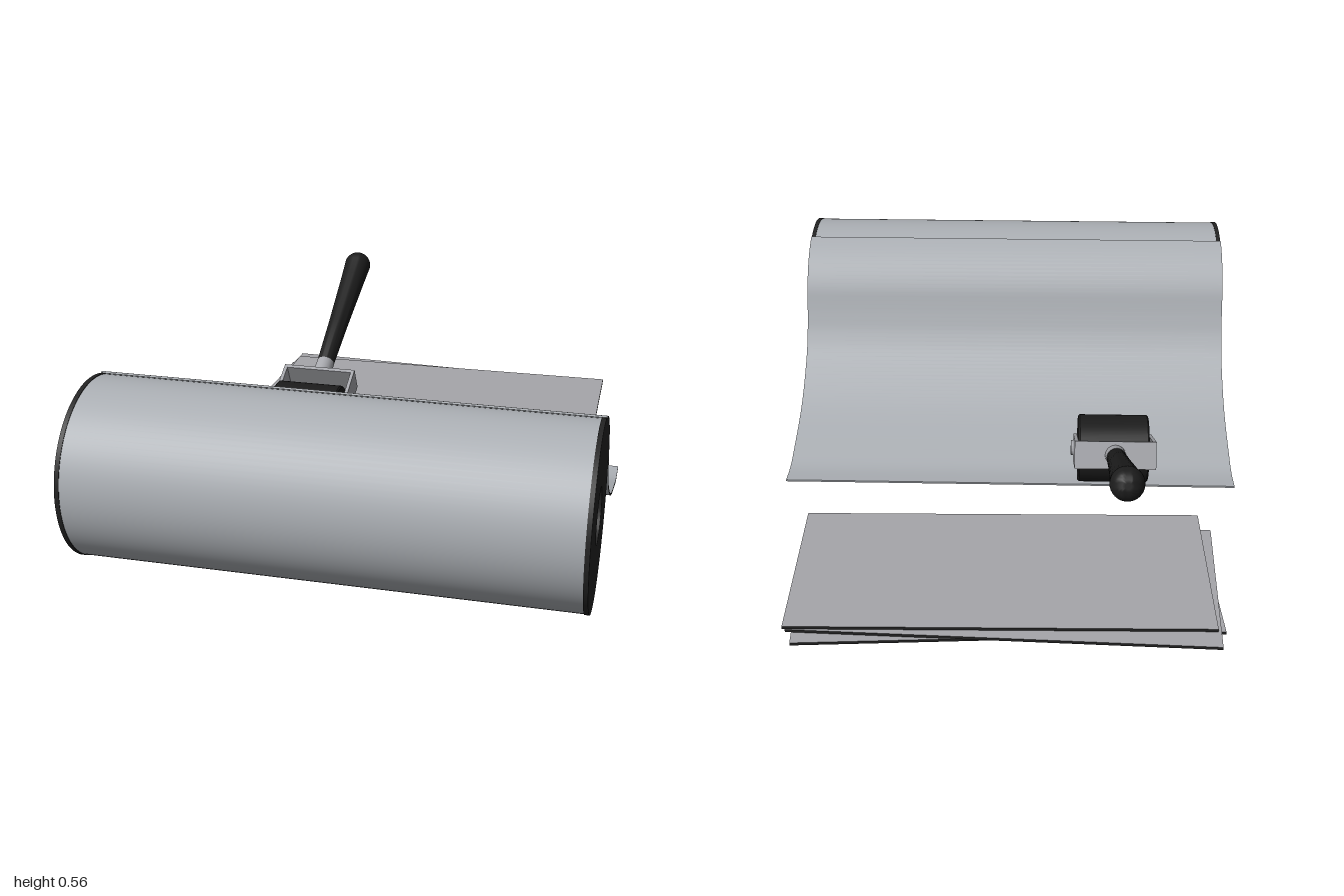
import * as THREE from 'three';
import { toCreasedNormals } from 'three/addons/utils/BufferGeometryUtils.js';

const mat = (name, color, side = THREE.FrontSide) => {
  const m = new THREE.MeshStandardMaterial({ color, side });
  m.name = name;
  return m;
};

const V2 = (x, y) => new THREE.Vector2(x, y);

// Lathe with crisp edges whose axis lies along x
function latheX(points, segments = 64) {
  const g = new THREE.LatheGeometry(points.map(([r, h]) => V2(r, h)), segments);
  return toCreasedNormals(g.rotateZ(-Math.PI / 2), 0.6);
}

export function createModel() {
  const root = new THREE.Group();
  root.name = 'rollAndApplicator';

  const silver = mat('silverFoil', 0xacb0b5);
  const tileTop = mat('tileGrey', 0xa6a6aa);
  const dark = mat('darkBacking', 0x232323);
  const rubber = mat('blackRubber', 0x1c1c1c);
  const steel = mat('brushedSteel', 0xa6a7ac);

  const add = (parent, name, geometry, material, x = 0, y = 0, z = 0) => {
    const mesh = new THREE.Mesh(geometry, material);
    mesh.name = name;
    mesh.position.set(x, y, z);
    parent.add(mesh);
    return mesh;
  };

  // Roll: foil skin, dark end rings and an open core
  const rollY = 0.28, rollZ = 0.725, R = 0.277;
  const roll = new THREE.Group();
  roll.name = 'roll';
  roll.position.set(0, rollY, rollZ);
  root.add(roll);
  add(roll, 'rollSkin', latheX([[R - 0.002, -0.746], [R - 0.002, 0.746]], 96), silver);
  add(roll, 'rollCore', latheX([[0.083, 0.746], [0.083, -0.746]]), dark);
  for (const s of [-1, 1]) {
    const w = 0.007;
    add(roll, s > 0 ? 'leftEndRing' : 'rightEndRing',
      latheX([[0.083, -w], [R, -w], [R, w], [0.083, w], [0.083, -w]], 96), dark, s * 0.752);
  }

  // Unrolled sheet: hugs the roll, then sweeps down to the ground
  const path = [];
  for (let i = 0; i <= 6; i++) {
    const a = 0.33 + i * 0.153;
    path.push([rollZ - 0.279 * Math.sin(a), rollY + 0.279 * Math.cos(a)]);
  }
  path.push([0.44, 0.322], [0.407, 0.26], [0.353, 0.195], [0.246, 0.118], [0.14, 0.068],
    [-0.02, 0.023], [-0.1, 0.007], [-0.186, 0.012]);
  const curve = new THREE.SplineCurve(path.map(([z, y]) => V2(-z, y)));
  const over = [], under = [];
  for (let i = 0; i <= 70; i++) {
    const p = curve.getPointAt(i / 70), t = curve.getTangentAt(i / 70);
    const n = V2(-t.y, t.x).multiplyScalar(0.003);
    over.push(p.clone().add(n));
    under.unshift(p.clone().sub(n));
  }
  const sheet = new THREE.ExtrudeGeometry(new THREE.Shape([...over, ...under]),
    { depth: 1.52, bevelEnabled: false });
  sheet.translate(0, 0, -0.76).rotateY(Math.PI / 2);
  add(root, 'unrolledSheet', toCreasedNormals(sheet, 0.6), [dark, silver]);

  // Loose stack of three cut tiles, each turned a little
  const tileFaces = [dark, dark, tileTop, dark, dark, dark];
  [[-0.002, -0.683, 0.063], [-0.01, -0.7, -0.035], [0.012, -0.668, 0.016]].forEach(([x, z, turn], i) => {
    const tile = add(root, 'tile' + (i + 1), new THREE.BoxGeometry(1.265, 0.0095, 0.555),
      tileFaces, x, 0.0065 + i * 0.0115, z);
    tile.rotation.y = turn;
  });

  // Hand roller, its handle running along local -z
  const tool = new THREE.Group();
  tool.name = 'handRoller';
  tool.position.set(-0.346, 0.127, -0.132);
  tool.rotation.x = 0.457;
  root.add(tool);
  add(tool, 'rollerDrum', latheX([[0, -0.117], [0.108, -0.117], [0.113, -0.112],
    [0.113, 0.112], [0.108, 0.117], [0, 0.117]], 48), rubber);

  // Fork: two arms joined by a back plate, with axle pins
  for (const s of [-1, 1]) {
    add(tool, s > 0 ? 'leftArm' : 'rightArm', new THREE.BoxGeometry(0.012, 0.09, 0.212), steel,
      s * 0.126, 0, -0.086);
    add(tool, s > 0 ? 'leftAxlePin' : 'rightAxlePin',
      latheX([[0, -0.01], [0.026, -0.01], [0.026, 0.01], [0, 0.01]], 20), steel, s * 0.13);
  }
  add(tool, 'forkBackPlate', new THREE.BoxGeometry(0.264, 0.09, 0.014), steel, 0, 0, -0.185);
  add(tool, 'ferrule', new THREE.CylinderGeometry(0.032, 0.034, 0.075, 24).rotateX(-Math.PI / 2),
    steel, 0, 0, -0.22);

  // Tapered grip ending in a rounded knob
  const grip = [V2(0, 0.235), V2(0.028, 0.235), V2(0.031, 0.245), V2(0.036, 0.45), V2(0.045, 0.7)];
  for (let i = 0; i <= 10; i++) {
    const a = -0.2 + i * (Math.PI / 2 + 0.2) / 10;
    grip.push(V2(Math.max(0, 0.05 * Math.cos(a)), 0.794 + 0.05 * Math.sin(a)));
  }
  add(tool, 'handleGrip', toCreasedNormals(
    new THREE.LatheGeometry(grip, 32).rotateX(-Math.PI / 2), 0.7), rubber);

  return root;
}
